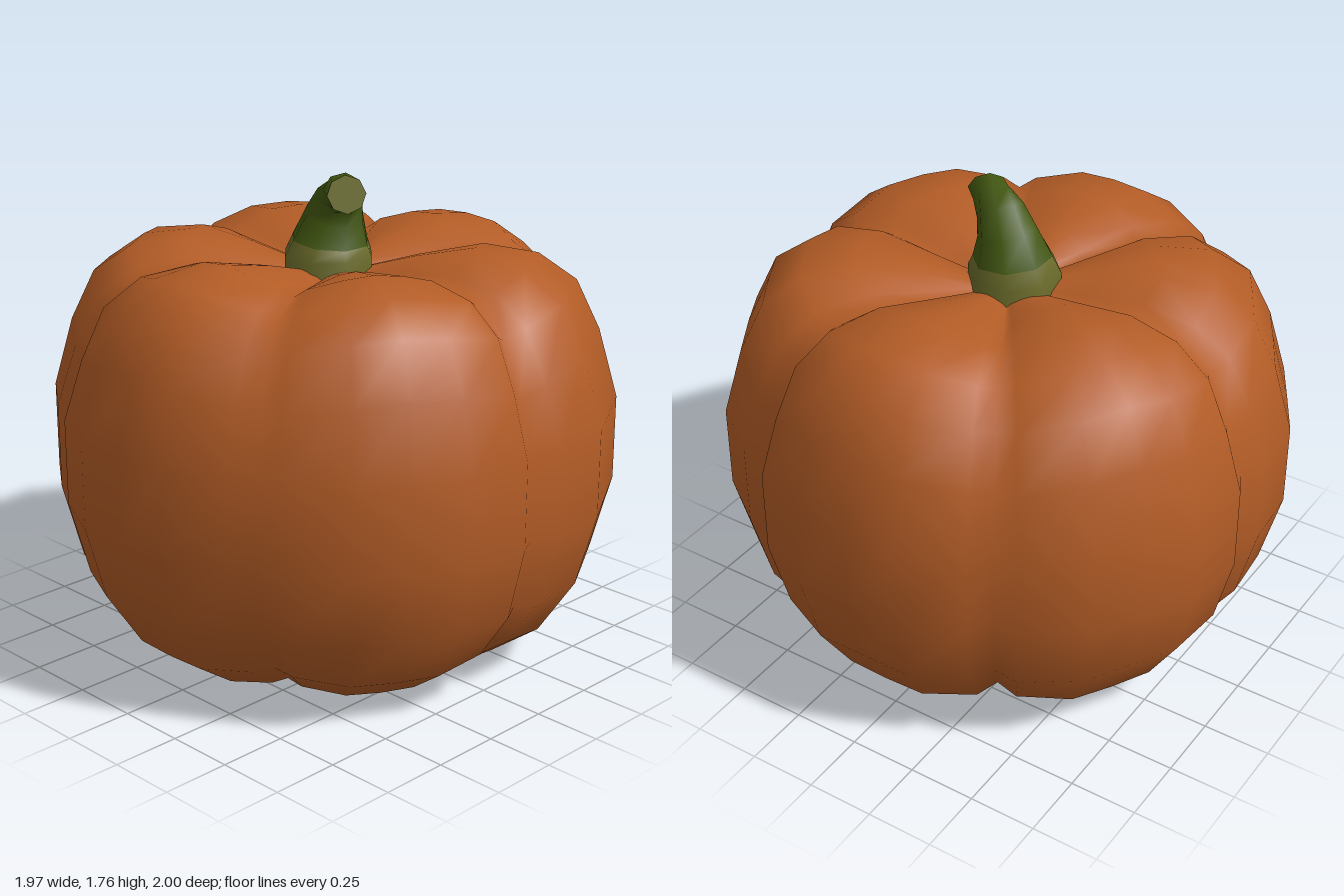
import * as THREE from 'three';
import { mergeVertices } from 'three/addons/utils/BufferGeometryUtils.js';

// Smooth skin over closed rings of equal point count, listed from bottom to top
function loft(rings) {
  const n = rings[0].length;
  const index = [];
  for (let i = 0; i < rings.length - 1; i++) {
    for (let j = 0; j < n; j++) {
      const a = i * n + j, b = i * n + (j + 1) % n;
      index.push(a, a + n, b, b, a + n, b + n);
    }
  }
  const geo = new THREE.BufferGeometry().setFromPoints(rings.flat());
  geo.setIndex(index);
  const merged = mergeVertices(geo, 1e-4);
  merged.computeVertexNormals();
  return merged;
}

// Eight-sided ring around centre c, facing direction d
function stemRing([c, d, r]) {
  const n = new THREE.Vector3(...d).normalize();
  const v = new THREE.Vector3(1, 0, 0).cross(n).normalize();
  const u = n.clone().cross(v);
  return Array.from({ length: 8 }, (_, j) => {
    const a = (j + 0.5) * Math.PI / 4;
    return new THREE.Vector3(...c).addScaledVector(u, r * Math.cos(a)).addScaledVector(v, r * Math.sin(a));
  });
}

// Body rings: six lobes parted by grooves
function bodyRings() {
  const profile = [
    [0, 0.06], [0.2, 0.03], [0.38, 0], [0.63, 0.03], [0.8, 0.15], [0.93, 0.36], [1, 0.63], [1, 0.94],
    [0.93, 1.2], [0.845, 1.38], [0.71, 1.475], [0.52, 1.505], [0.3, 1.46], [0.12, 1.41], [0, 1.4],
  ];
  // Across one lobe: angle from its middle, radius factor, share of groove depth
  const lobe = [[-25, 0.99, 0.6], [-11, 1.018, 0.12], [0, 1, 0], [11, 1.018, 0.12], [25, 0.99, 0.6]];
  const grooves = [0.94, 0.962, 0.962, 0.94, 0.925, 0.925];
  const spokes = grooves.flatMap((g, k) => [
    [k * 60, g, 1],
    ...lobe.map(([a, f, w]) => [k * 60 + 30 + a, f, w]),
  ]);
  return profile.map(([r, y]) => spokes.map(([deg, f, w]) => {
    const a = THREE.MathUtils.degToRad(deg);
    const fade = Math.min(1, r / 0.38);
    const sink = y > 1.1 ? -0.08 : y < 0.2 ? 0.045 : 0;
    return new THREE.Vector3(r * f * Math.cos(a), y + sink * w * fade, r * f * Math.sin(a));
  }));
}

export function createModel() {
  const skin = new THREE.MeshStandardMaterial({ color: 0xb35c26 });
  skin.name = 'orange skin';
  const green = new THREE.MeshStandardMaterial({ color: 0x41560f });
  green.name = 'dark green';
  const olive = new THREE.MeshStandardMaterial({ color: 0x6b6c2b });
  olive.name = 'olive';

  const model = new THREE.Group();
  model.name = 'pumpkin';
  const add = (name, rings, material, parent = model) => {
    const mesh = new THREE.Mesh(loft(rings), material);
    mesh.name = name;
    parent.add(mesh);
  };
  add('body', bodyRings(), skin);

  // Stem bends up and over towards the front left
  const stem = new THREE.Group();
  stem.name = 'stem';
  model.add(stem);
  const rings = [
    [[-0.015, 1.37, 0.01], [0, 1, 0], 0.165],
    [[-0.015, 1.45, 0.01], [0, 1, 0], 0.165],
    [[-0.01, 1.5, 0.005], [0.1, 1, 0], 0.142],
    [[0.008, 1.59, 0], [0.3, 1, 0.05], 0.108],
    [[0.045, 1.66, 0.012], [0.6, 0.9, 0.3], 0.085],
    [[0.09, 1.69, 0.04], [0.65, 0.55, 0.6], 0.072],
    [[0.14, 1.695, 0.075], [0.62, 0.35, 0.7], 0.068],
    [[0.14, 1.695, 0.075], [0.62, 0.35, 0.7], 0],
  ].map(stemRing);
  add('stemBase', rings.slice(0, 3), olive, stem);
  add('stemShaft', rings.slice(2, 7), green, stem);
  add('stemTip', rings.slice(6), olive, stem);
  return model;
}
